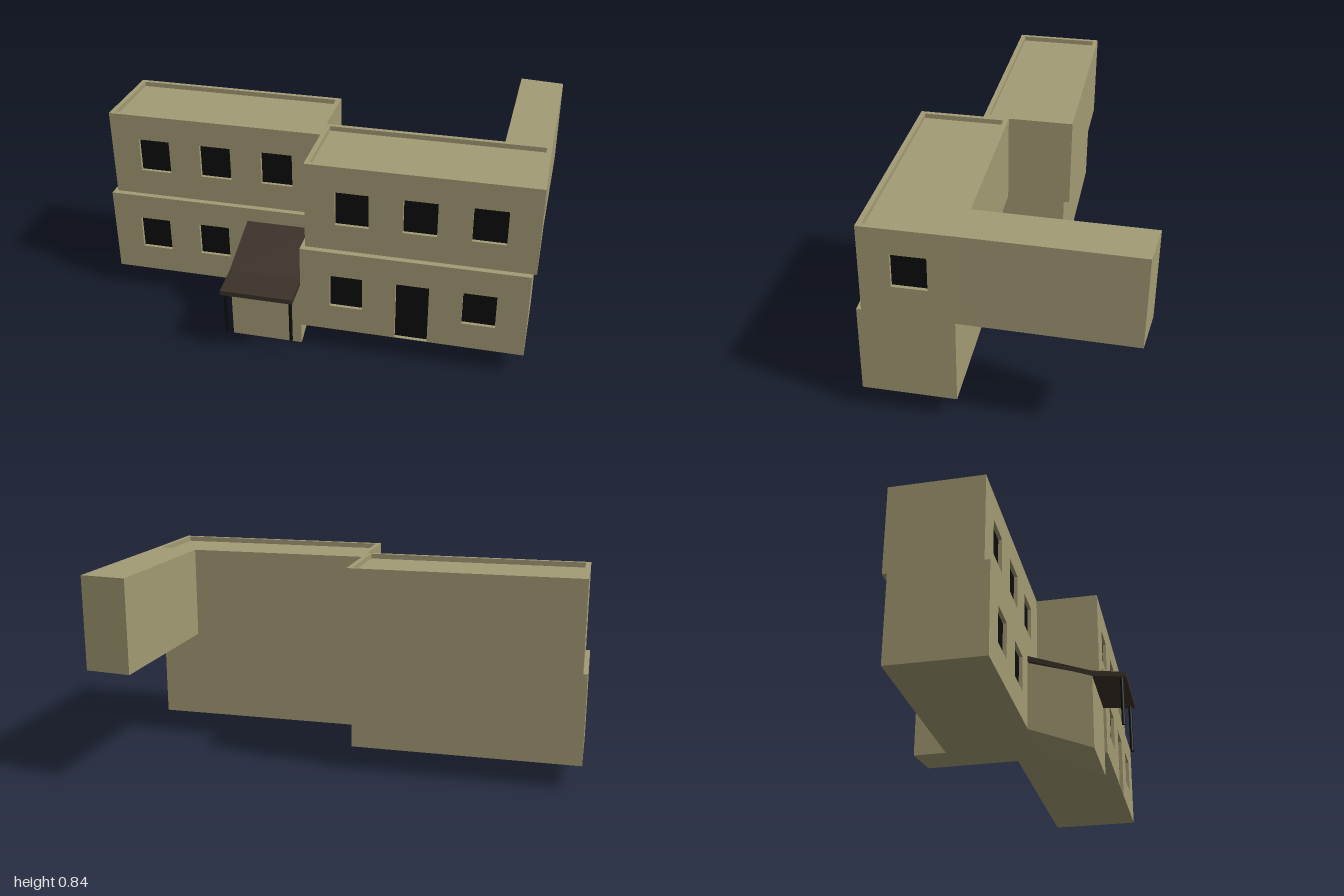
import * as THREE from 'three';

const wallMat = new THREE.MeshStandardMaterial({ color: 0xa39b74 });
const roofMat = new THREE.MeshStandardMaterial({ color: 0x3a3128, side: THREE.DoubleSide });
const darkMat = new THREE.MeshStandardMaterial({ color: 0x0c0c0c });

const H = 0.37, D = 0.37, T = 0.02; // storey height, block depth, wall thickness

function mesh(name, geometry, material, parent) {
  const m = new THREE.Mesh(geometry, material);
  m.name = name;
  parent.add(m);
  return m;
}

// Box given by its minimum and maximum corners
function box(name, a, b, material, parent) {
  const m = mesh(name, new THREE.BoxGeometry(b[0] - a[0], b[1] - a[1], b[2] - a[2]), material, parent);
  m.position.set((a[0] + b[0]) / 2, (a[1] + b[1]) / 2, (a[2] + b[2]) / 2);
  return m;
}

// Solid with the given outline, pushed along +z
function extrude(points, depth) {
  const shape = new THREE.Shape(points.map(p => new THREE.Vector2(...p)));
  return new THREE.ExtrudeGeometry(shape, { depth, bevelEnabled: false });
}

// Wall with rectangular openings [x0, y0, x1, y1]; outer face at z = 0, dark panes set back
function wall(name, width, openings) {
  const g = new THREE.Group();
  g.name = name;
  const shape = new THREE.Shape([[0, 0], [width, 0], [width, H], [0, H]].map(p => new THREE.Vector2(...p)));
  for (const [x0, y0, x1, y1] of openings) {
    shape.holes.push(new THREE.Path([[x0, y0], [x0, y1], [x1, y1], [x1, y0]].map(p => new THREE.Vector2(...p))));
    box('pane', [x0, y0, -T], [x1, y1, -T + 0.005], darkMat, g);
  }
  const geo = new THREE.ExtrudeGeometry(shape, { depth: T, bevelEnabled: false });
  mesh('wallPanel', geo, wallMat, g).position.z = -T;
  return g;
}

const opening = (cx, y0 = 0.115, y1 = 0.26) => [cx - 0.067, y0, cx + 0.067, y1];

// One storey block; origin at its lower front left corner, extending to -z
function storey(name, x, y, z, width, openings, recess, sideOpenings = []) {
  const g = new THREE.Group();
  g.name = name;
  g.position.set(x, y, z);
  g.add(wall('frontWall', width, openings));
  const side = wall('leftWall', D - T, sideOpenings);
  side.rotation.y = Math.PI / 2;
  side.position.set(width, 0, -T);
  g.add(side);
  box('rightWall', [0, 0, -D], [T, H, -T], wallMat, g);
  box('backWall', [T, 0, -D], [width - T, H, -D + T], wallMat, g);
  box('core', [T, 0, -D + T], [width - T, H - recess, -T], wallMat, g);
  return g;
}

export function createModel() {
  const model = new THREE.Group();
  model.name = 'building';
  const house = new THREE.Group();
  house.name = 'house';
  house.rotation.y = -Math.PI / 12;
  model.add(house);

  // Two staggered blocks, each with a lower storey and a slightly shifted upper one
  const W = 0.918, lowY = 0.1, upY = lowY + H;
  const row = [0.19, 0.46, 0.728].map(x => opening(x));
  house.add(
    storey('lowerRightBlock', -1.0125, lowY, 0.085, W, row.slice(0, 2), 0),
    storey('lowerLeftBlock', -0.095, lowY, 0.349, W, [row[0], opening(0.46, 0.002, 0.26), row[2]], 0),
    storey('upperRightBlock', -0.996, upY, 0.06, W, row, T),
    storey('upperLeftBlock', -0.078, upY, 0.324, W, row, T, [opening(0.165, 0.13, 0.266)])
  );

  // Long wing reaching back from the upper storey
  const wing = mesh('rearWing', extrude([[0.655, 0.045], [0.84, 0.045], [0.849, 0.695], [0.663, 0.716]], H), wallMat, house);
  wing.rotation.x = -Math.PI / 2;
  wing.position.y = upY;

  // Entrance vestibule with a sloping underside; outline is [z, y], pushed across x
  const across = (name, points, x0, x1, material) => {
    const m = mesh(name, extrude(points.map(([z, y]) => [-z, y]), x1 - x0), material, house);
    m.rotation.y = Math.PI / 2;
    m.position.x = x0;
  };
  across('vestibule', [[0.338, 0], [0.08, 0.1], [0.08, 0.38], [0.338, 0.3]], -0.397, -0.097, wallMat);

  // Porch roof: steep by the wall, flatter at the eave
  across('porchRoof', [[0.468, 0.28], [0.338, 0.296], [0.08, 0.39], [0.08, 0.41], [0.338, 0.318], [0.468, 0.3]], -0.398, -0.096, roofMat);

  // Porch posts
  for (const x of [-0.382, -0.11]) {
    const post = mesh('porchPost', new THREE.CylinderGeometry(0.007, 0.007, 0.2, 12), darkMat, house);
    post.position.set(x, 0.19, 0.449);
  }
  return model;
}
